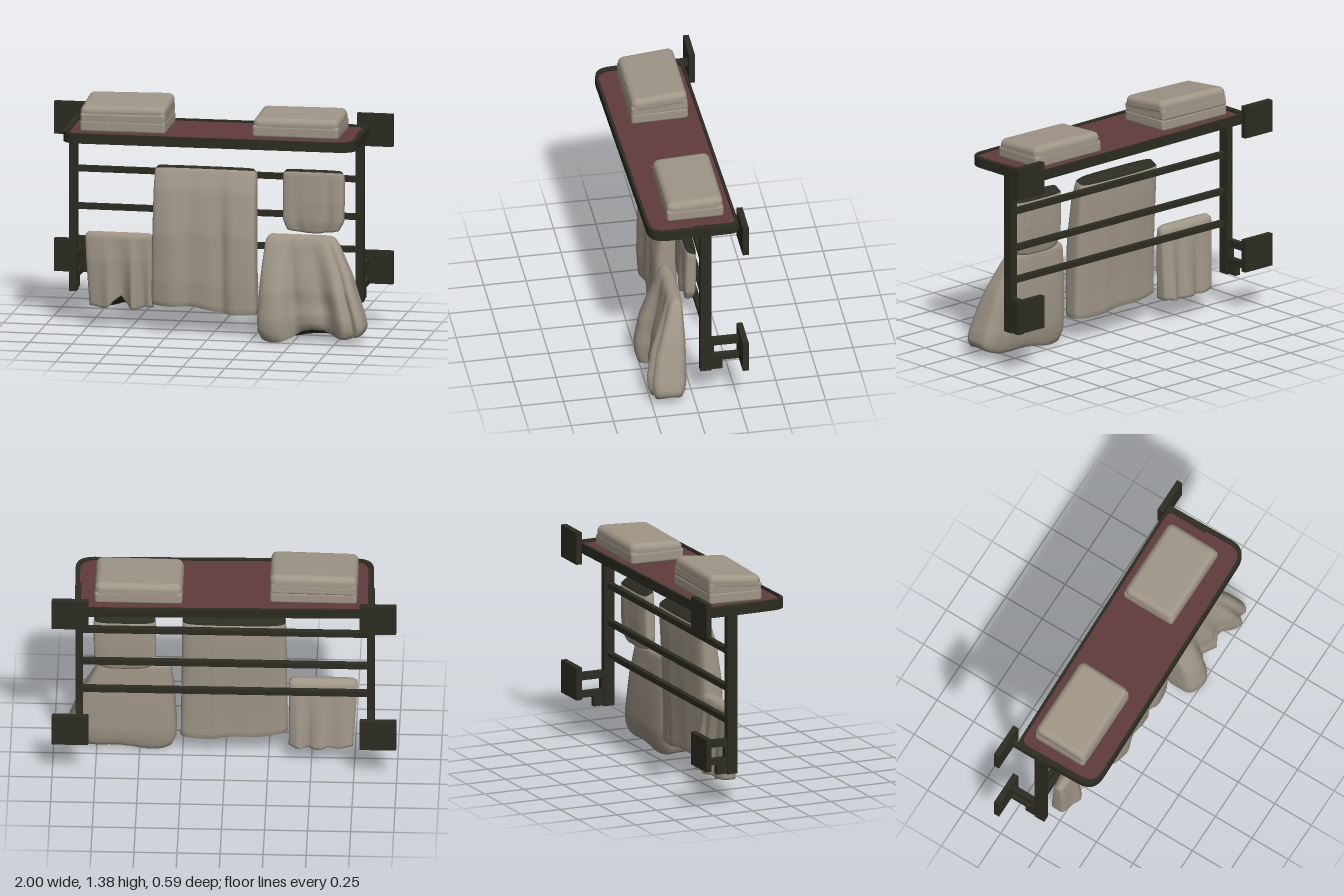
import * as THREE from 'three';
import { RoundedBoxGeometry } from 'three/addons/geometries/RoundedBoxGeometry.js';

const mat = (name, color, side = THREE.FrontSide) => {
  const m = new THREE.MeshStandardMaterial({ color, side });
  m.name = name;
  return m;
};

export function createModel() {
  const model = new THREE.Group();
  const metal = mat('dark metal', 0x2d2c22);
  const panelRed = mat('dull red panel', 0x613c3e);
  const cotton = mat('beige cotton', 0x9f9687, THREE.DoubleSide);

  const add = (name, geo, material, parent = model) => {
    const m = new THREE.Mesh(geo, material);
    m.name = name;
    parent.add(m);
    return m;
  };
  // Box given by its limits on each axis
  const box = (name, x0, x1, y0, y1, z0, z1, parent) => {
    const g = new THREE.BoxGeometry(x1 - x0, y1 - y0, z1 - z0);
    g.translate((x0 + x1) / 2, (y0 + y1) / 2, (z0 + z1) / 2);
    return add(name, g, metal, parent);
  };

  // Side frames: post, wall plates, arms and lower bracket
  for (const [label, s] of [['left', 1], ['right', -1]]) {
    const side = new THREE.Group();
    side.name = label + 'SideFrame';
    model.add(side);
    const part = (name, xa, xb, ...rest) =>
      box(name, Math.min(s * xa, s * xb), Math.max(s * xa, s * xb), ...rest, side);
    part('post', 0.825, 0.868, 0.2, 1.16, -0.1, -0.035);
    part('upperWallPlate', 0.788, 1, 1.08, 1.272, -0.297, -0.262);
    part('lowerWallPlate', 0.788, 1, 0.265, 0.46, -0.297, -0.262);
    part('upperArm', 0.835, 0.868, 1.165, 1.205, -0.265, 0);
    part('lowerArm', 0.83, 0.865, 0.37, 0.413, -0.265, -0.09);
    part('bracketArm', 0.83, 0.865, 0.265, 0.302, -0.265, -0.11);
    part('bracketStem', 0.83, 0.865, 0.265, 0.38, -0.115, -0.1);
    part('bracketFoot', 0.83, 0.865, 0.205, 0.302, -0.165, -0.1);
  }

  // Towel rails
  for (const y of [0.925, 0.702, 0.508]) {
    box('rail', -0.84, 0.84, y - 0.017, y + 0.017, -0.082, -0.05);
  }

  // Shelf outline with larger corners at the front
  const outline = (x0, x1, zb, zf, rb, rf, Type = THREE.Shape) => {
    const p = new Type(), f = -zf, b = -zb;
    p.moveTo(x0 + rf, f);
    p.lineTo(x1 - rf, f);
    p.quadraticCurveTo(x1, f, x1, f + rf);
    p.lineTo(x1, b - rb);
    p.quadraticCurveTo(x1, b, x1 - rb, b);
    p.lineTo(x0 + rb, b);
    p.quadraticCurveTo(x0, b, x0, b - rb);
    p.lineTo(x0, f + rf);
    p.quadraticCurveTo(x0, f, x0 + rf, f);
    return p;
  };
  const slab = (shape, y0, y1) => {
    const g = new THREE.ExtrudeGeometry(shape, { depth: y1 - y0, bevelEnabled: false, curveSegments: 8 });
    return g.rotateX(-Math.PI / 2).translate(0, y0, 0);
  };
  const shelf = new THREE.Group();
  shelf.name = 'shelf';
  shelf.rotation.y = 0.02;
  model.add(shelf);
  const inner = [-0.828, 0.845, -0.233, 0.264, 0.05, 0.09];
  const rim = outline(-0.86, 0.872, -0.249, 0.281, 0.05, 0.11);
  rim.holes.push(outline(...inner, THREE.Path));
  add('shelfRim', slab(rim, 1.148, 1.206), metal, shelf);
  add('shelfBase', slab(outline(...inner), 1.15, 1.185), metal, shelf);
  add('shelfPanel', slab(outline(...inner), 1.185, 1.194), panelRed, shelf);

  // Folded towels: overlapping soft layers [width, height, depth, radius, y, tilt]
  const foldedTowel = (name, x, z, layers) => {
    const g = new THREE.Group();
    g.name = name;
    g.position.set(x, 0, z);
    model.add(g);
    for (const [w, h, d, r, y, tilt] of layers) {
      const m = add('foldedLayer', new RoundedBoxGeometry(w, h, d, 4, r), cotton, g);
      m.position.y = y;
      m.rotation.set(tilt, 0, tilt * 0.2);
    }
  };
  foldedTowel('tallFoldedTowel', -0.515, 0.003, [
    [0.505, 0.075, 0.335, 0.018, 1.231, 0.02], [0.5, 0.07, 0.335, 0.018, 1.283, 0.06],
    [0.505, 0.088, 0.33, 0.036, 1.317, 0.1]]);
  foldedTowel('lowFoldedTowel', 0.5, -0.027, [
    [0.51, 0.075, 0.335, 0.018, 1.231, 0.01], [0.505, 0.1, 0.332, 0.038, 1.265, 0.05]]);

  // Hanging towel: rings from top to hem, keys are [y, xLeft, xRight, zBack, zFront]
  const hangingTowel = (name, keys, { fold, hem, back = 0, darkTop = false, darkHem = false }) => {
    const N = 80, R = 24, rings = [];
    const top = keys[0][0], low = keys[keys.length - 1][0];
    const at = (y) => {
      let i = 0;
      while (i < keys.length - 2 && y < keys[i + 1][0]) i++;
      const k = (keys[i][0] - y) / (keys[i][0] - keys[i + 1][0]);
      return keys[i].map((v, j) => v + (keys[i + 1][j] - v) * k);
    };
    // Rounded top sloping to the back, body, then the recessed underside
    const ring = (y, inset, lift = 0, slope = 0, flat = 1) => rings.push({ y, inset, lift, slope, flat });
    const slope = darkTop ? 0.03 : 0.006;
    ring(top, 0.024, 0, slope, 0);
    ring(top - 0.003, 0.016, 0, slope);
    ring(top - 0.016, 0.003, 0, slope);
    for (let i = 0; i <= R; i++) ring(top - 0.035 + (low - top + 0.035) * i / R, 0, 0, slope * (1 - i / R));
    ring(low, 0.01, 0.001);
    ring(low, 0.016, 0.014);
    ring(low, 0.02, 0.022, 0, 0);
    const pos = [], idx = [];
    const pw = (v, e) => Math.sign(v) * Math.abs(v) ** e;
    for (const r of rings) {
      const [, x0, x1, zb, zf] = at(r.y), t = (top - r.y) / (top - low);
      const hw = (x1 - x0) / 2 - r.inset, hd = Math.max((zf - zb) / 2 - r.inset, 0.008);
      for (let i = 0; i < N; i++) {
        const a = i / N * Math.PI * 2;
        const u = pw(Math.cos(a), 0.6), v = pw(Math.sin(a), 0.4) * r.flat;
        const front = (v + 1) / 2;
        pos.push((x0 + x1) / 2 + hw * u,
          r.y + r.lift - r.slope * (1 - front) + hem(u, front) * t ** 4,
          (zb + zf) / 2 + hd * v + fold(u, t) * (back + (1 - back) * front));
      }
    }
    for (let r = 0; r < rings.length - 1; r++) {
      for (let i = 0; i < N; i++) {
        const j = (i + 1) % N, p = r * N, q = p + N;
        idx.push(p + i, p + j, q + i, p + j, q + j, q + i);
      }
    }
    const g = new THREE.BufferGeometry();
    g.setAttribute('position', new THREE.Float32BufferAttribute(pos, 3));
    g.setIndex(idx);
    g.computeVertexNormals();
    const cap = 2 * N * 6;
    g.addGroup(0, cap, 0);
    g.addGroup(cap, idx.length - 2 * cap, 1);
    g.addGroup(idx.length - cap, cap, 2);
    add(name, g, [darkTop ? metal : cotton, cotton, darkHem ? metal : cotton]);
  };
  const bump = (u, c, w) => Math.exp(-(((u - c) / w) ** 2));

  hangingTowel('smallHangingTowel', [
    [0.57, -0.768, -0.37, -0.045, 0.025], [0.4, -0.76, -0.37, -0.06, 0.035],
    [0.125, -0.742, -0.368, -0.085, 0.03]], {
    fold: (u, t) => t * (0.03 * bump(u, -0.3, 0.2) - 0.055 * bump(u, 0.08, 0.18)
      + 0.035 * bump(u, 0.4, 0.14) - 0.03 * bump(u, 0.7, 0.15)),
    hem: (u, f) => 0.006 * Math.cos(u * 7) + 0.06 * f * bump(u, -0.05, 0.24),
    back: 0.6, darkHem: true });

  hangingTowel('largeHangingTowel', [
    [0.99, -0.35, 0.25, -0.04, 0.045], [0.85, -0.353, 0.253, -0.04, 0.095],
    [0.6, -0.355, 0.256, -0.03, 0.135], [0.3, -0.357, 0.26, -0.018, 0.14],
    [0.145, -0.358, 0.262, -0.015, 0.13]], {
    fold: (u, t) => Math.min(1, t * 2) * (0.02 * bump(u, 0.14, 0.1) - 0.04 * bump(u, 0.32, 0.12)
      - 0.022 * bump(u, -0.2, 0.25) + 0.012 * bump(u, -0.6, 0.2)),
    hem: (u, f) => -0.02 * u + 0.006 * Math.cos(u * 6) + 0.02 * f * bump(u, -0.4, 0.4),
    back: 0.2, darkTop: true, darkHem: true });

  hangingTowel('handTowel', [
    [0.992, 0.405, 0.765, -0.04, 0.035], [0.8, 0.405, 0.765, -0.04, 0.045],
    [0.68, 0.405, 0.763, -0.035, 0.045], [0.615, 0.43, 0.735, -0.02, 0.035]], {
    fold: (u, t) => t * (0.012 * bump(u, 0.25, 0.15) - 0.02 * bump(u, 0.5, 0.15) - 0.012 * bump(u, -0.5, 0.2)),
    hem: (u) => 0.015 * u * u, back: 0.2, darkTop: true });

  hangingTowel('drapedTowel', [
    [0.618, 0.33, 0.72, 0.04, 0.11], [0.56, 0.315, 0.755, 0.037, 0.14],
    [0.4, 0.3, 0.83, 0.03, 0.205], [0.3, 0.295, 0.862, 0.028, 0.242],
    [0.14, 0.287, 0.912, 0.03, 0.272], [0.07, 0.288, 0.925, 0.04, 0.268],
    [0.022, 0.31, 0.912, 0.055, 0.25]], {
    fold: (u, t) => Math.min(1, t * 1.5) * (0.01 * bump(u, -0.7, 0.2) - 0.095 * bump(u, -0.25, 0.18)
      - 0.085 * bump(u, 0.25, 0.25) + 0.01 * bump(u, 0.62, 0.12) - 0.035 * bump(u, 0.78, 0.06)),
    hem: (u, f) => 0.022 * u + 0.008 * Math.cos(u * 5) + 0.05 * f * bump(u, 0, 0.4) + 0.08 * f * (1 - f),
    darkHem: true });

  return model;
}
